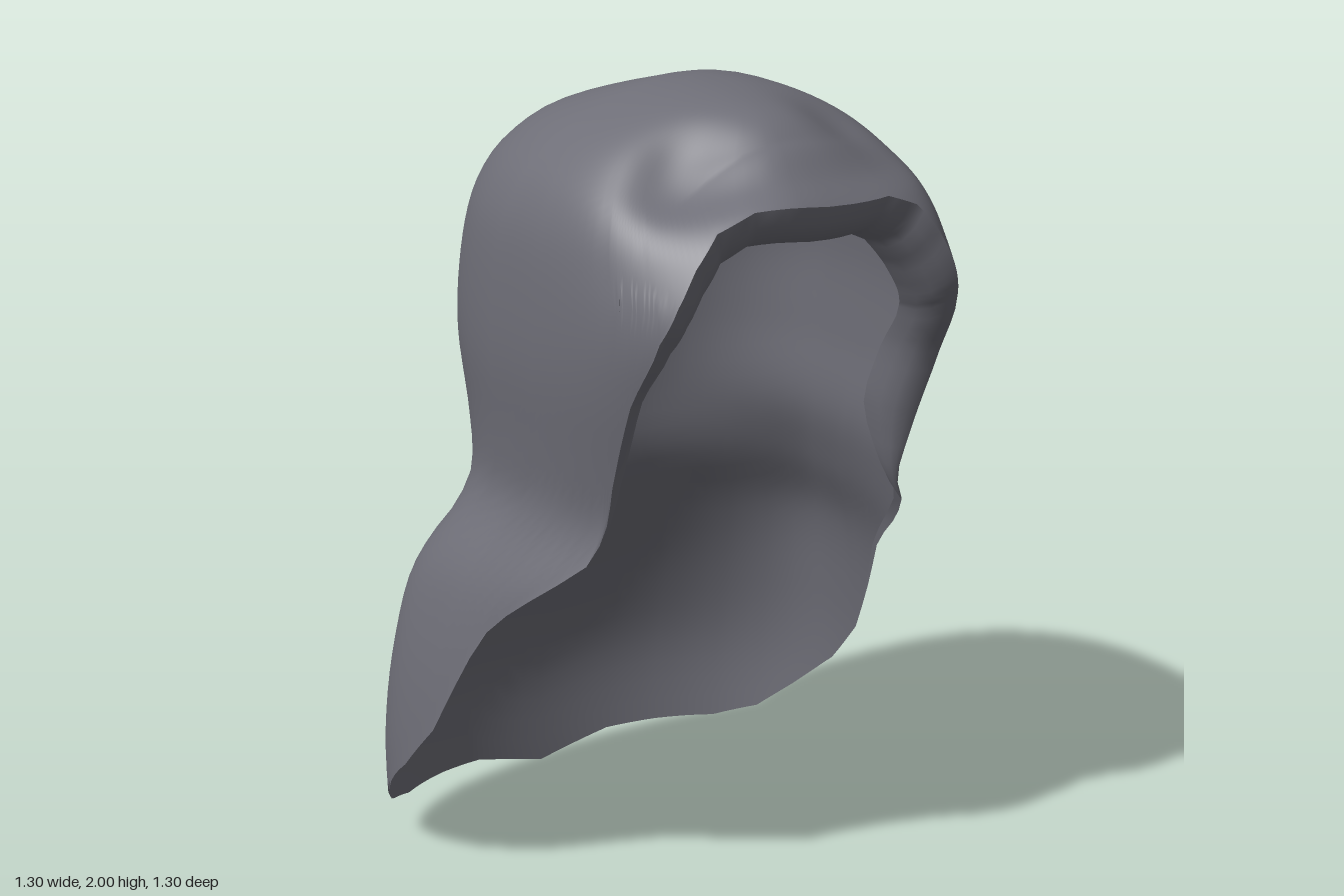
import * as THREE from 'three';
import { mergeVertices } from 'three/addons/utils/BufferGeometryUtils.js';

// Horizontal sections: y, half width, front z, back z, z of widest point, front roundness
const OUTER = [
  [2.0, 0, 0.1, 0.1, 0.1, 0.9],
  [1.985, 0.13, 0.3, 0.02, 0.1, 0.9],
  [1.96, 0.21, 0.42, -0.08, 0.1, 0.85],
  [1.9, 0.33, 0.51, -0.26, 0.08, 0.8],
  [1.83, 0.41, 0.57, -0.36, 0.06, 0.75],
  [1.77, 0.45, 0.63, -0.415, 0.05, 0.7],
  [1.68, 0.48, 0.7, -0.46, 0.03, 0.7],
  [1.52, 0.495, 0.78, -0.505, 0.01, 0.7],
  [1.36, 0.495, 0.72, -0.52, 0, 0.7],
  [1.15, 0.475, 0.67, -0.47, -0.02, 0.75],
  [1.02, 0.475, 0.73, -0.43, -0.06, 0.9],
  [0.93, 0.525, 0.8, -0.41, -0.1, 1],
  [0.85, 0.57, 0.74, -0.47, -0.13, 1],
  [0.75, 0.6, 0.67, -0.535, -0.17, 1],
  [0.6, 0.628, 0.66, -0.58, -0.19, 1],
  [0.44, 0.645, 0.66, -0.625, -0.2, 1],
  [0.28, 0.652, 0.66, -0.648, -0.2, 1],
  [0, 0.64, 0.66, -0.655, -0.2, 1],
];
const INNER = [
  [1.9, 0, 0.1, 0.1, 0.1, 0.9],
  [1.87, 0.18, 0.35, -0.05, 0.1, 0.85],
  [1.8, 0.34, 0.52, -0.17, 0.08, 0.75],
  [1.7, 0.42, 0.63, -0.25, 0.05, 0.7],
  [1.52, 0.455, 0.72, -0.31, 0.01, 0.7],
  [1.3, 0.455, 0.66, -0.355, 0, 0.7],
  [1.1, 0.45, 0.64, -0.385, -0.03, 0.8],
  [0.93, 0.505, 0.77, -0.4, -0.1, 1],
  [0.75, 0.588, 0.65, -0.47, -0.17, 1],
  [0.5, 0.632, 0.65, -0.575, -0.19, 1],
  [0.28, 0.646, 0.65, -0.64, -0.2, 1],
  [0, 0.636, 0.65, -0.65, -0.2, 1],
];

// Lower border of the hood: angle from the front in degrees, height
const BORDER = [
  [0, 1.775], [17, 1.78], [28, 1.75], [36, 1.68], [43, 1.6], [49, 1.52],
  [54, 1.36], [58, 1.15], [61, 0.95], [72, 0.73], [82, 0.44], [90, 0.31],
  [107, 0.19], [119, 0.11], [133, 0.072], [150, 0.065], [163, 0.055], [180, 0],
];
const SIDE = (BORDER.length - 1) * 4; // columns on each side
const ROWS = 48;

// Smooth interpolation of a section at height y
function sectionAt(table, y) {
  const n = table.length;
  const top = table[0][0];
  let i = 0;
  while (i < n - 2 && y < table[i + 1][0]) i++;
  const key = (k) => Math.sqrt(top - table[k][0]);
  const h = key(i + 1) - key(i);
  const t = (Math.sqrt(Math.max(0, top - y)) - key(i)) / h;
  const slope = (k, c) => {
    const a = Math.max(0, k - 1), b = Math.min(n - 1, k + 1);
    return (table[b][c] - table[a][c]) / (key(b) - key(a));
  };
  return [1, 2, 3, 4, 5].map((c) => {
    const p = table[i][c], q = table[i + 1][c];
    const s = t * t * (3 - 2 * t);
    return p + (q - p) * s + h * (t * (1 - t) ** 2 * slope(i, c) - t * t * (1 - t) * slope(i + 1, c));
  });
}

// Angle and height of the border for a signed column
function borderAt(column) {
  const k = Math.abs(column) / 4;
  const i = Math.min(Math.floor(k), BORDER.length - 2);
  const [a0, y0] = BORDER[i], [a1, y1] = BORDER[i + 1];
  const angle = Math.sign(column) * THREE.MathUtils.degToRad(a0 + (a1 - a0) * (k - i));
  return [angle, y0 + (y1 - y0) * (k - i)];
}

// Point of the cloth, with soft dents above the brow
function clothPoint(table, angle, y) {
  const [w, front, back, zc, round] = sectionAt(table, y);
  const s = Math.sin(angle), c = Math.cos(angle);
  // the back of the head has flat sides and a soft middle ridge, the cape is round
  const head = THREE.MathUtils.smoothstep(y, 0.85, 1.2);
  const ex = c > 0 ? round : 0.94 - 0.18 * head;
  const ez = c > 0 ? round : 0.94 + 0.18 * head;
  const x = w * Math.sign(s) * Math.abs(s) ** ex;
  const z = zc + (c > 0 ? front - zc : back - zc) * Math.abs(c) ** ez;
  const dent = (dx, dz, size) => size * Math.exp(-(((x - dx) / 0.13) ** 2) - ((z - dz) / 0.12) ** 2);
  const fold = y > 1.6 ? dent(-0.25, 0.46, 0.045) + dent(0.2, 0.42, 0.028) : 0;
  // the brow rises a little towards the right side and flares forward
  const brow = y > 1.6 ? Math.exp(-(((x + 0.16) / 0.16) ** 2)) * Math.max(0, (z - 0.5) / 0.12) : 0;
  return new THREE.Vector3(x, y - fold + 0.02 * brow, z - fold + 0.03 * brow);
}

// Grid surface; rows run away from the start, columns run from the right side to the left
function grid(columns, rows, pointAt) {
  const positions = [], index = [];
  for (let r = 0; r <= rows; r++) {
    for (let c = 0; c <= columns; c++) positions.push(...pointAt(c, r / rows).toArray());
  }
  for (let r = 0; r < rows; r++) {
    for (let c = 0; c < columns; c++) {
      const a = r * (columns + 1) + c, b = a + columns + 1;
      index.push(a, b, a + 1, a + 1, b, b + 1);
    }
  }
  const geometry = new THREE.BufferGeometry();
  geometry.setAttribute('position', new THREE.Float32BufferAttribute(positions, 3));
  geometry.setIndex(index);
  const merged = mergeVertices(geometry, 1e-4);
  merged.computeVertexNormals();
  return merged;
}

// Shell from the top of the head down to the border
function shell(table) {
  const top = table[0][0];
  return grid(SIDE * 2, ROWS, (c, t) => {
    const [angle, bottom] = borderAt(c - SIDE);
    return clothPoint(table, angle, top - (top - bottom) * t ** 1.5);
  });
}

export function createModel() {
  const cloth = new THREE.MeshStandardMaterial({ color: 0x6e6e77, side: THREE.DoubleSide });
  cloth.name = 'grey cloth';
  const model = new THREE.Group();
  model.name = 'hood';
  const add = (name, geometry) => {
    const mesh = new THREE.Mesh(geometry, cloth);
    mesh.name = name;
    model.add(mesh);
  };

  // Crown with shoulder cape, and the smoother lining inside it
  add('hoodAndCape', shell(OUTER));
  add('lining', shell(INNER));

  // Hem turned inwards around the face opening, fading out at the neck
  const lipSide = 32;
  add('faceHem', grid(lipSide * 2, 4, (c, t) => {
    const [angle, y] = borderAt(c - lipSide);
    const p = clothPoint(OUTER, angle, y);
    const fade = THREE.MathUtils.smoothstep(y, 0.92, 1.25);
    const inward = Math.sin(t * Math.PI / 2) * fade;
    p.x *= 1 - 0.17 * inward;
    p.y -= 0.1 * inward * THREE.MathUtils.smoothstep(y, 1.3, 1.75);
    p.z -= 0.13 * t * t * fade;
    return p;
  }));

  return model;
}
